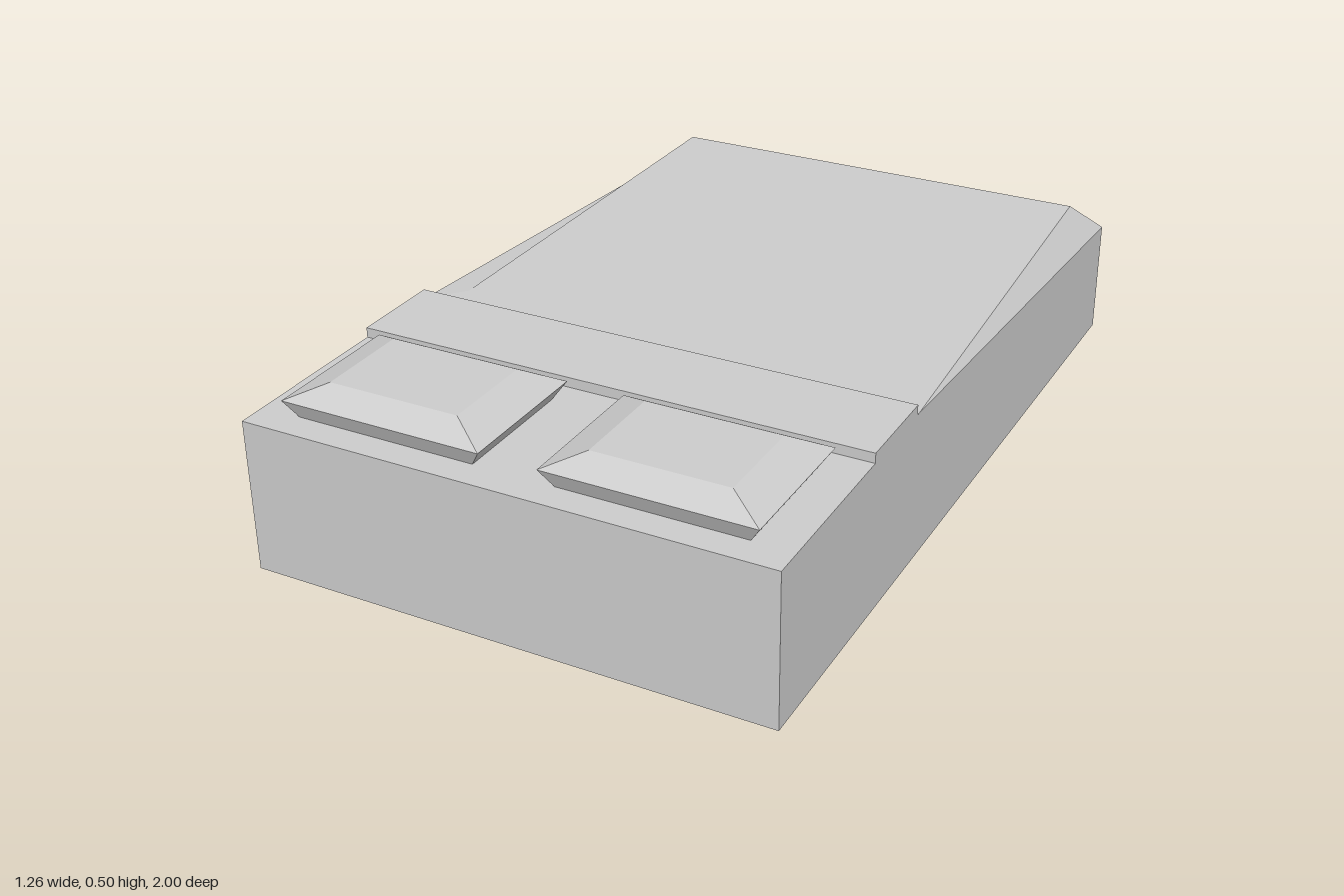
import * as THREE from 'three';

const material = new THREE.MeshStandardMaterial({ color: 0xcccccc, flatShading: true });

// Closed solid through stacked rings of [x, y, z] corners, counter-clockwise from above
function ringSolid(rings) {
  const pos = [];
  const tri = (...corners) => {
    const [a, b, c] = corners.map((p) => new THREE.Vector3(...p));
    const area = b.clone().sub(a).cross(c.clone().sub(a)).length();
    if (area > 1e-8) corners.forEach((p) => pos.push(...p));
  };
  const n = rings[0].length;
  const low = rings[0], high = rings[rings.length - 1];
  const centre = (ring) => {
    const xs = ring.map((p) => p[0]), zs = ring.map((p) => p[2]);
    return [(Math.min(...xs) + Math.max(...xs)) / 2, ring[0][1], (Math.min(...zs) + Math.max(...zs)) / 2];
  };
  for (let i = 0; i < n; i++) {
    const j = (i + 1) % n;
    for (let k = 0; k + 1 < rings.length; k++) {
      const a = rings[k], b = rings[k + 1];
      tri(a[i], a[j], b[j]);
      tri(a[i], b[j], b[i]);
    }
    tri(centre(high), high[i], high[j]);
    tri(centre(low), low[j], low[i]);
  }
  const geo = new THREE.BufferGeometry();
  geo.setAttribute('position', new THREE.Float32BufferAttribute(pos, 3));
  geo.computeVertexNormals();
  return geo;
}

// Mirror the corners of the +x half, listed front to back, into a full ring
function mirrorRing(half) {
  return [...half, ...half.map(([x, y, z]) => [-x, y, z]).reverse()];
}

function rectRing(w, d, y) {
  return mirrorRing([[w / 2, y, d / 2], [w / 2, y, -d / 2]]);
}

export function createModel() {
  const model = new THREE.Group();
  const add = (name, geometry, x = 0, y = 0, z = 0) => {
    const mesh = new THREE.Mesh(geometry, material);
    mesh.name = name;
    mesh.position.set(x, y, z);
    model.add(mesh);
  };
  const W = 0.632;

  // Mattress block, its cover sloping off along the sides and the foot end
  const outline = (y, yFoot) => mirrorRing([[W, y, 1], [W, y, 0.32], [W, y, 0.32], [W, yFoot, -1]]);
  add('mattress', ringSolid([
    outline(0.053, 0.053),
    outline(0.423, 0.345),
    mirrorRing([[W, 0.423, 1], [W, 0.423, 0.32], [0.563, 0.423, 0.24], [0.563, 0.423, -0.918]]),
  ]));

  // Folded-back edge of the blanket
  add('blanketFold', new THREE.BoxGeometry(2 * W, 0.047, 0.23), 0, 0.4235, 0.44);

  // Pillows and legs, one of each per side
  const pillow = ringSolid([
    rectRing(0.437, 0.31, 0.423),
    rectRing(0.493, 0.35, 0.465),
    rectRing(0.32, 0.23, 0.502),
  ]);
  const leg = new THREE.BoxGeometry(0.066, 0.055, 0.068);
  for (const [side, s] of [['left', 1], ['right', -1]]) {
    add(side + 'Pillow', pillow, s * 0.316, 0, 0.775);
    add(side + 'FrontLeg', leg, s * 0.505, 0.0275, 0.785);
    add(side + 'BackLeg', leg, s * 0.505, 0.0275, -0.878);
  }
  return model;
}
